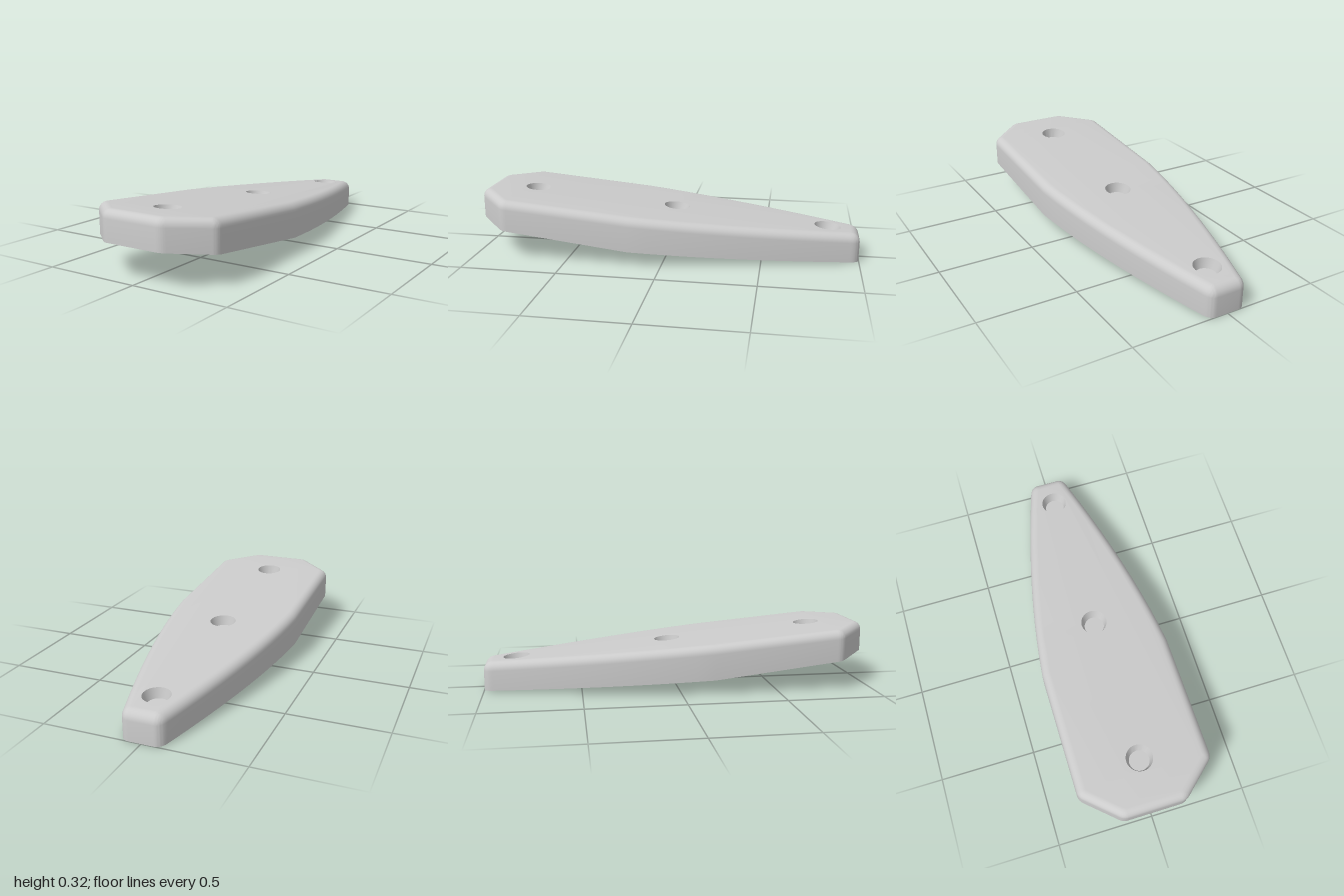
import * as THREE from 'three';
import { mergeGeometries, toCreasedNormals } from 'three/addons/utils/BufferGeometryUtils.js';

const CREASE_Z = 0.17, FILLET = 0.045;
const topY = (z) => 0.237 + 0.09 * z;
const bottomY = (z) => 0.075 + (z - CREASE_Z) * (z > CREASE_Z ? 0.117 : 0.0641);

// Plan outline as [x, z] points, counterclockwise seen from above
function outline() {
  const path = new THREE.Path();
  path.moveTo(0, 1);
  path.lineTo(0.135, 1);
  path.quadraticCurveTo(0.16, 1, 0.18, 0.982);
  path.lineTo(0.325, 0.852);
  path.quadraticCurveTo(0.345, 0.834, 0.345, 0.805);
  path.lineTo(0.345, CREASE_Z);
  path.quadraticCurveTo(0.3, -0.32, 0.111, -0.95);
  path.quadraticCurveTo(0.098, -1, 0.06, -1);
  path.lineTo(0, -1);
  const half = path.getPoints(10).map((p) => [p.x, p.y]);
  const mirrored = half.slice(1, -1).reverse().map(([x, z]) => [-x, z]);
  return [...half, ...mirrored];
}

// Move a loop inwards along its averaged edge normals
function inset(loop, d) {
  const n = loop.length;
  return loop.map(([x, z], i) => {
    const a = loop[(i + n - 1) % n], b = loop[(i + 1) % n];
    const dx = b[0] - a[0], dz = b[1] - a[1], len = Math.hypot(dx, dz);
    return [x + (dz / len) * d, z - (dx / len) * d];
  });
}

const circle = (cz, r) => Array.from({ length: 32 }, (_, i) => {
  const a = (i / 32) * Math.PI * 2;
  return [r * Math.cos(a), cz - r * Math.sin(a)];
});

// Skin between stacked loops; each ring is a loop and its height rule
function loft(rings) {
  const n = rings[0].loop.length, pos = [], index = [];
  for (const { loop, y } of rings) for (const [x, z] of loop) pos.push(x, y(z), z);
  for (let r = 0; r < rings.length - 1; r++) {
    for (let i = 0; i < n; i++) {
      const a = r * n + i, b = r * n + (i + 1) % n;
      index.push(a, b, b + n, a, b + n, a + n);
    }
  }
  const g = new THREE.BufferGeometry();
  g.setAttribute('position', new THREE.Float32BufferAttribute(pos, 3));
  g.setIndex(index);
  return g;
}

// Flat cap with holes, dropped onto a height rule
function cap(loop, y, holes = [], down = false) {
  const toVec = ([x, z]) => new THREE.Vector2(x, -z);
  const shape = new THREE.Shape(loop.map(toVec));
  shape.holes = holes.map((h) => new THREE.Path(h.map(toVec)));
  const g = new THREE.ShapeGeometry(shape);
  g.rotateX(-Math.PI / 2);
  const p = g.attributes.position;
  for (let i = 0; i < p.count; i++) p.setY(i, y(p.getZ(i)));
  if (down) g.setIndex(Array.from(g.index.array).reverse());
  g.deleteAttribute('uv');
  g.deleteAttribute('normal');
  return g;
}

export function createModel() {
  const group = new THREE.Group();
  const material = new THREE.MeshStandardMaterial({ color: 0xcccccc });
  const add = (name, parts) => {
    const mesh = new THREE.Mesh(toCreasedNormals(mergeGeometries(parts), Math.PI / 4), material);
    mesh.name = name;
    group.add(mesh);
  };

  const base = outline();
  const holeZ = [0.74, -0.035, -0.835];
  const upper = holeZ.map((z) => circle(z, 0.068));
  const lower = holeZ.map((z) => circle(z + 0.014, 0.036));

  // Side wall with a rounded upper edge
  const rings = [{ loop: base, y: bottomY }];
  for (let i = 0; i <= 6; i++) {
    const a = (i / 6) * Math.PI / 2;
    rings.push({
      loop: inset(base, FILLET * (1 - Math.cos(a))),
      y: (z) => topY(z) - FILLET * (1 - Math.sin(a)),
    });
  }
  // Sloped top, and an underside folded across its width
  add('plateBody', [
    loft(rings),
    cap(rings[rings.length - 1].loop, topY, upper),
    cap(base.filter((p) => p[1] >= CREASE_Z - 1e-6), bottomY, [lower[0]], true),
    cap(base.filter((p) => p[1] <= CREASE_Z + 1e-6), bottomY, lower.slice(1), true),
  ]);

  // Tapered recesses above, narrow bores below
  holeZ.forEach((z, i) => {
    const floorY = (v) => topY(v) - 0.05;
    const ceilingY = (v) => topY(v) - 0.055;
    const floor = circle(z + 0.005, 0.052);
    add('screwRecess' + (i + 1), [
      loft([{ loop: upper[i], y: topY }, { loop: floor, y: floorY }]),
      cap(floor, floorY),
    ]);
    const ceiling = circle(z + 0.006, 0.036);
    add('screwBore' + (i + 1), [
      loft([{ loop: ceiling, y: ceilingY }, { loop: lower[i], y: bottomY }]),
      cap(ceiling, ceilingY, [], true),
    ]);
  });
  return group;
}
